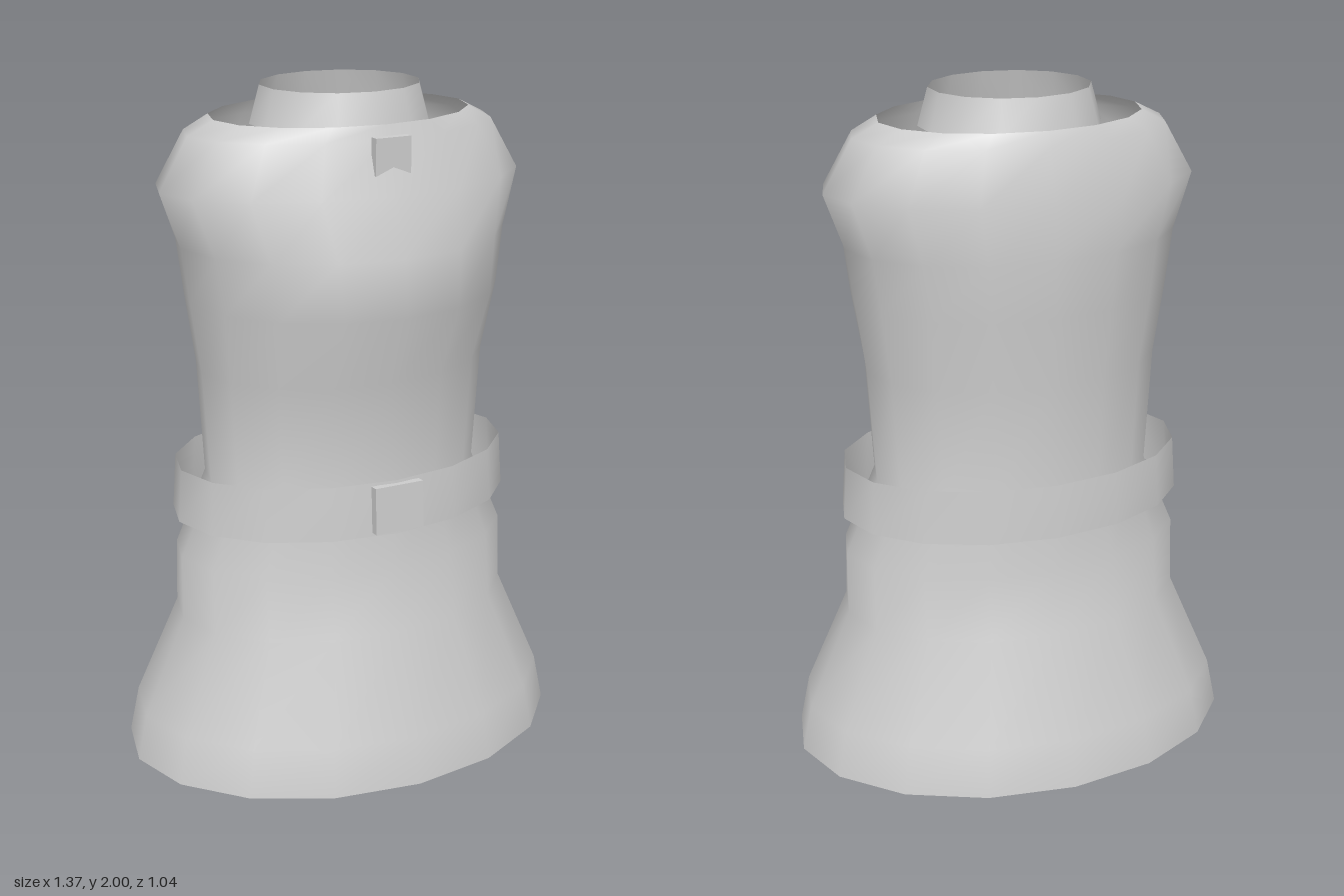
import * as THREE from 'three';

// Open tube from rings [y, halfWidth, frontDepth, backDepth], front at angle 0
function loft(rings, sides) {
  const pos = [], index = [];
  rings.forEach(([y, rx, zf, zb], i) => {
    for (let j = 0; j < sides; j++) {
      const a = (j / sides) * Math.PI * 2, c = Math.cos(a);
      pos.push(rx * Math.sin(a), y, c * (c > 0 ? zf : zb));
      if (i === rings.length - 1) continue;
      const p = i * sides + j, q = i * sides + ((j + 1) % sides);
      index.push(p, q, q + sides, p, q + sides, p + sides);
    }
  });
  const g = new THREE.BufferGeometry();
  g.setAttribute('position', new THREE.Float32BufferAttribute(pos, 3));
  g.setIndex(index);
  g.computeVertexNormals();
  return g;
}

export function createModel() {
  const model = new THREE.Group();
  const cloth = new THREE.MeshStandardMaterial({ color: 0xcccccc, side: THREE.DoubleSide });
  cloth.name = 'light grey';

  const add = (name, geometry) => {
    const mesh = new THREE.Mesh(geometry, cloth);
    mesh.name = name;
    model.add(mesh);
    return mesh;
  };

  // Sleeveless tunic: flared skirt, waist, chest, shoulders, neck opening
  add('tunic', loft([
    [0, 0.683, 0.52, 0.518],
    [0.14, 0.655, 0.493, 0.49],
    [0.435, 0.525, 0.388, 0.378],
    [0.63, 0.525, 0.358, 0.35],
    [0.85, 0.425, 0.318, 0.317],
    [1.19, 0.447, 0.333, 0.318],
    [1.4, 0.478, 0.415, 0.345],
    [1.565, 0.502, 0.402, 0.345],
    [1.73, 0.563, 0.343, 0.343],
    [1.88, 0.475, 0.292, 0.297],
    [1.92, 0.395, 0.28, 0.28],
  ], 16));

  // Loose belt standing off the waist
  add('belt', loft([
    [0.745, 0.53, 0.372, 0.37],
    [0.905, 0.52, 0.36, 0.36],
  ], 16));

  // Tapered standing collar
  add('collar', loft([
    [1.89, 0.268, 0.242, 0.242],
    [2, 0.238, 0.212, 0.212],
  ], 14));

  // Square buckle plate
  const buckle = add('buckle', new THREE.BoxGeometry(0.155, 0.14, 0.026));
  buckle.position.set(-0.002, 0.827, 0.37);
  buckle.rotation.x = -0.05;

  // Small pin with a swallow-tailed lower edge
  const tag = new THREE.Shape();
  [[-0.055, 0.105], [-0.055, 0], [0, 0.022], [0.055, 0], [0.055, 0.105]]
    .forEach(([x, y], i) => (i ? tag.lineTo(x, y) : tag.moveTo(x, y)));
  const pin = add('chestPin', new THREE.ExtrudeGeometry(tag, { depth: 0.026, bevelEnabled: false }));
  pin.position.set(0, 1.787, 0.298);

  return model;
}
